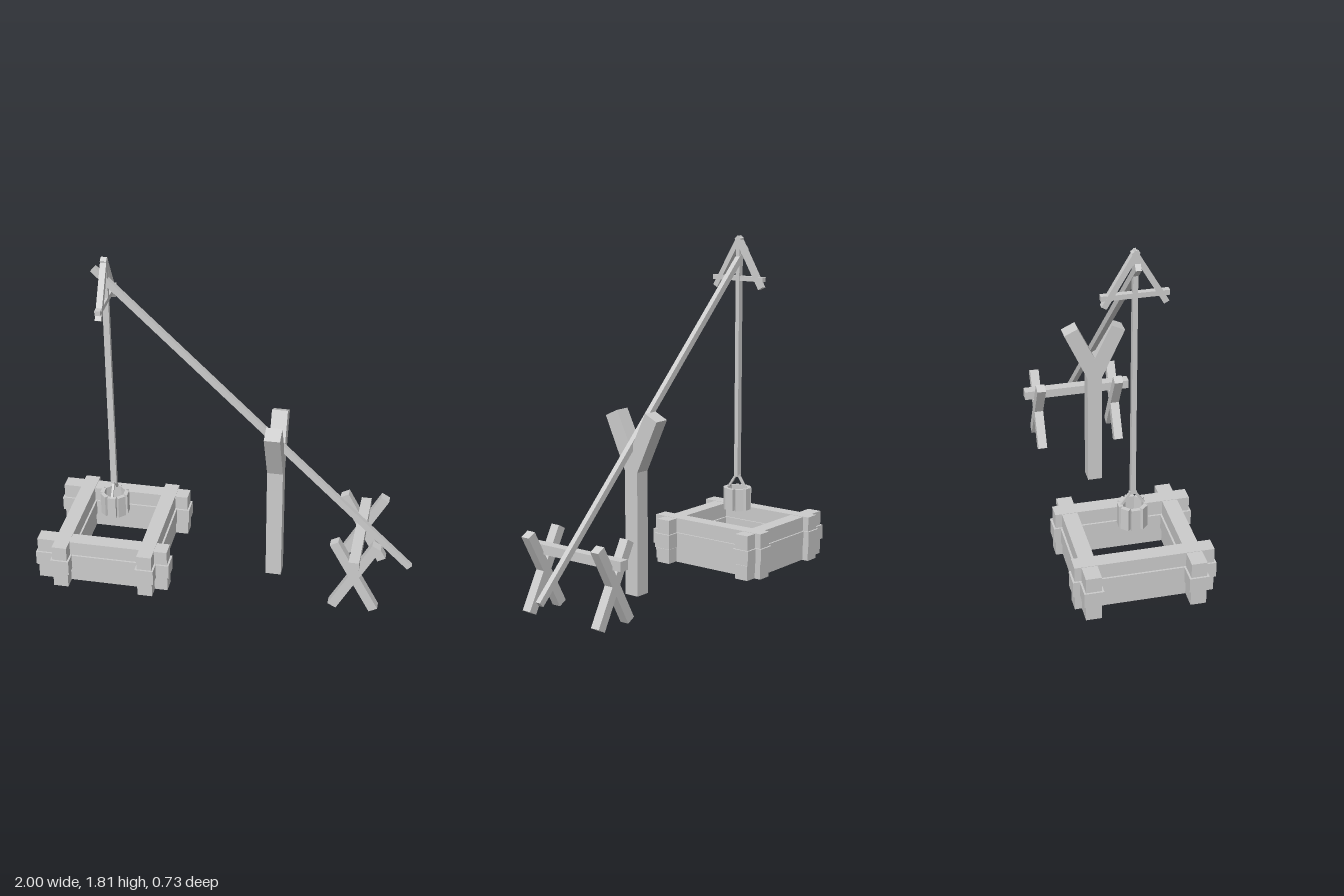
import * as THREE from 'three';

const material = new THREE.MeshStandardMaterial({ color: 0xcccccc, flatShading: true });

function add(parent, name, geometry) {
  const mesh = new THREE.Mesh(geometry, material);
  mesh.name = name;
  parent.add(mesh);
  return mesh;
}

function group(parent, name) {
  const g = new THREE.Group();
  g.name = name;
  parent.add(g);
  return g;
}

function box(parent, name, size, position) {
  const mesh = add(parent, name, new THREE.BoxGeometry(...size));
  mesh.position.set(...position);
  return mesh;
}

// Square timber between two points in the xy plane
function timberXY(parent, name, [x1, y1], [x2, y2], z, width, depth) {
  const mesh = box(parent, name, [width, Math.hypot(x2 - x1, y2 - y1), depth],
    [(x1 + x2) / 2, (y1 + y2) / 2, z]);
  mesh.rotation.z = -Math.atan2(x2 - x1, y2 - y1);
  return mesh;
}

// Square timber between two points in the zy plane
function timberZY(parent, name, [z1, y1], [z2, y2], x, width, depth) {
  const mesh = box(parent, name, [depth, Math.hypot(z2 - z1, y2 - y1), width],
    [x, (y1 + y2) / 2, (z1 + z2) / 2]);
  mesh.rotation.x = Math.atan2(z2 - z1, y2 - y1);
  return mesh;
}

export function createModel() {
  const model = new THREE.Group();
  model.name = 'leverWell';

  // Log surround: three courses with crossing ends, the middle one thicker
  const surround = group(model, 'wellSurround');
  [[0.06, 0], [0.145, 0.01], [0.225, 0]].forEach(([y, grow]) => {
    const width = 0.08 + 2 * grow;
    for (const z of [-0.28, 0.25]) {
      box(surround, 'longLog', [0.71 + 2 * grow, 0.08, width], [-0.635, y, z]);
    }
    for (const x of [-0.852, -0.39]) {
      box(surround, 'crossLog', [width, 0.084, 0.71 + 2 * grow], [x, y, 0]);
    }
  });

  // Forked post
  const right = [[0.04, 0.02], [0.04, 0.67], [0.166, 0.945], [0.092, 0.98]];
  const outline = [...right, [0, 0.79], ...right.map(([z, y]) => [-z, y]).reverse()];
  const fork = new THREE.ExtrudeGeometry(
    new THREE.Shape(outline.map(([z, y]) => new THREE.Vector2(z, y))),
    { depth: 0.084, bevelEnabled: false });
  fork.translate(0, 0, -0.042).rotateY(Math.PI / 2);
  add(model, 'forkedPost', fork).position.x = 0.253;

  // Long lever resting in the fork
  timberXY(model, 'lever', [-0.688, 1.752], [0.985, 0.14], 0, 0.034, 0.028);

  // Rest with two crossed trestles
  const rest = group(model, 'leverRest');
  for (const z of [-0.225, 0.225]) {
    for (const s of [-1, 1]) {
      timberXY(rest, 'trestleLeg', [0.71 - s * 0.11, 0.015], [0.71 + s * 0.11, 0.415], z, 0.05, 0.05);
    }
  }
  box(rest, 'restBar', [0.055, 0.05, 0.61], [0.712, 0.325, 0.003]);

  // Hanging pole with its triangular yoke
  const hanger = group(model, 'hanger');
  const hx = -0.63;
  box(hanger, 'pole', [0.032, 1.31, 0.024], [hx, 1.14, 0]);
  for (const s of [-1, 1]) {
    timberZY(hanger, 'yokeLeg', [s * 0.15, 1.538], [-s * 0.008, 1.81], hx, 0.029, 0.032);
  }
  box(hanger, 'yokeBar', [0.03, 0.026, 0.33], [hx, 1.587, 0]);

  // Bucket of eight staves with a floor and a bail
  const bucket = group(model, 'bucket');
  bucket.position.x = hx;
  for (let i = 0; i < 8; i++) {
    const a = i * Math.PI / 4;
    const stave = box(bucket, 'stave', [0.045, 0.122, 0.022],
      [Math.sin(a) * 0.064, 0.363, Math.cos(a) * 0.064]);
    stave.rotation.y = a;
  }
  add(bucket, 'bucketFloor', new THREE.CylinderGeometry(0.06, 0.06, 0.02, 8)).position.y = 0.315;
  for (const s of [-1, 1]) {
    timberZY(bucket, 'bailSide', [s * 0.065, 0.41], [s * 0.01, 0.49], 0, 0.012, 0.012);
  }
  box(bucket, 'bailTop', [0.012, 0.012, 0.04], [0, 0.488, 0]);

  return model;
}
